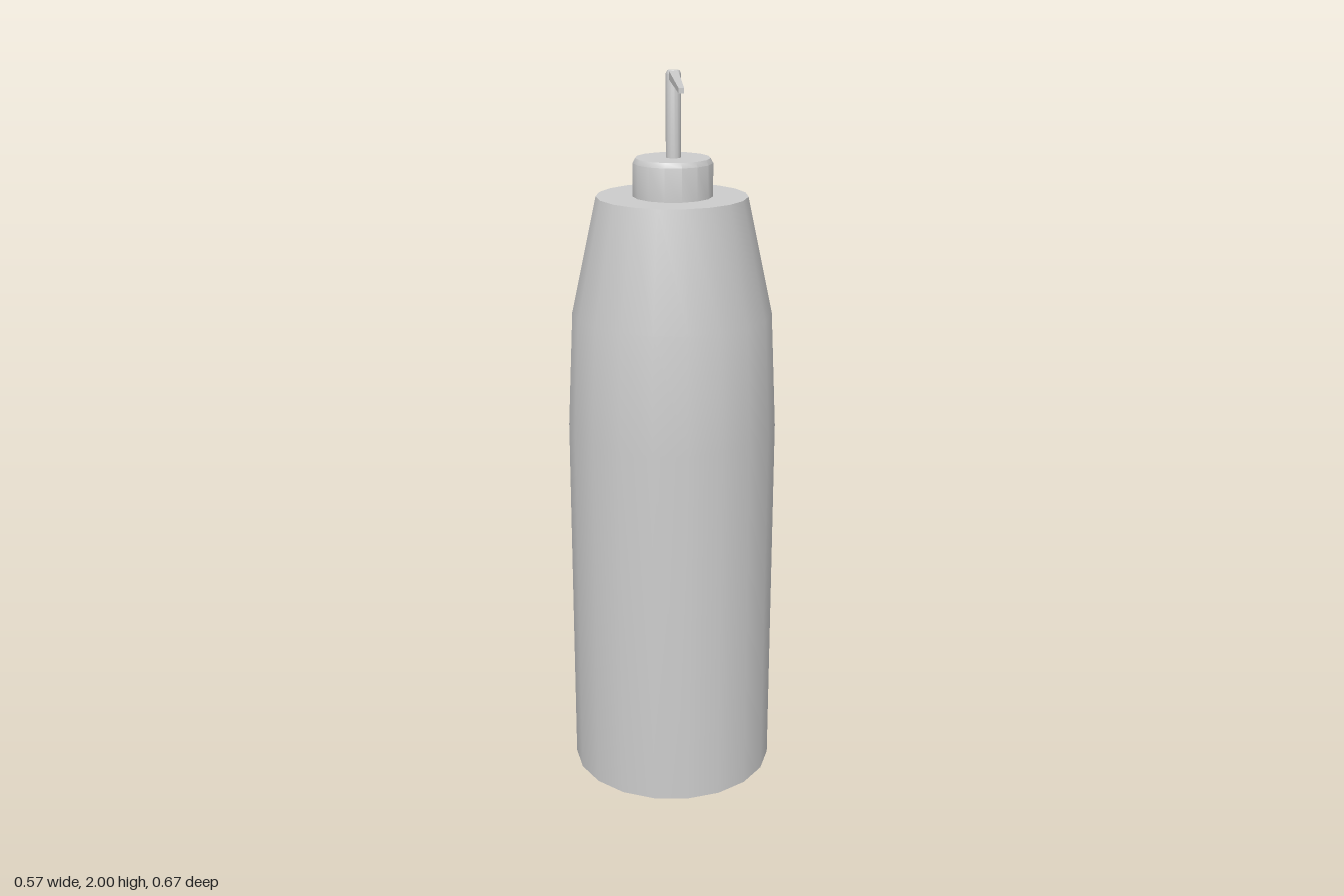
import * as THREE from 'three';
import { toCreasedNormals } from 'three/addons/utils/BufferGeometryUtils.js';

const material = new THREE.MeshStandardMaterial({ color: 0xcccccc });

// Closed turned solid from [radius, height] pairs, with a corner pointing to +x
function turned(name, profile, sides, x, z) {
  const points = profile.map(([r, y]) => new THREE.Vector2(r, y));
  const lathe = new THREE.LatheGeometry(points, sides).rotateY(Math.PI / 2);
  const mesh = new THREE.Mesh(toCreasedNormals(lathe, 0.6), material);
  mesh.name = name;
  mesh.position.set(x, 0, z);
  return mesh;
}

export function createModel() {
  const group = new THREE.Group();
  group.name = 'pumpBottle';
  const axisZ = -0.046;

  // Bottle with tapering shoulders
  group.add(turned('bottle', [
    [0, 0], [0.2875, 0], [0.2875, 1.04], [0.272, 1.36], [0.2035, 1.675], [0, 1.675],
  ], 19, -0.0035, -0.048));

  // Cap with a softened top edge
  group.add(turned('cap', [
    [0, 1.665], [0.107, 1.665], [0.107, 1.763], [0.1, 1.776], [0, 1.776],
  ], 15, -0.001, axisZ + 0.002));

  // Pump stem
  group.add(turned('stem', [
    [0, 1.77], [0.02, 1.77], [0.02, 1.992], [0.016, 2], [0, 2],
  ], 14, 0, axisZ));

  // Thin spout, narrowing toward its tip and turned slightly to one side
  const length = 0.38;
  const spoutGeometry = new THREE.BoxGeometry(0.024, 0.022, length).translate(0, 0, length / 2);
  const p = spoutGeometry.attributes.position;
  for (let i = 0; i < p.count; i++) {
    if (p.getZ(i) > length / 2) p.setXY(i, p.getX(i) * 0.56, p.getY(i) * 0.56);
  }
  spoutGeometry.computeVertexNormals();
  const spout = new THREE.Mesh(spoutGeometry, material);
  spout.name = 'spout';
  spout.position.set(0, 1.988, axisZ);
  spout.rotation.y = Math.atan2(0.054, 0.376);
  group.add(spout);

  return group;
}
